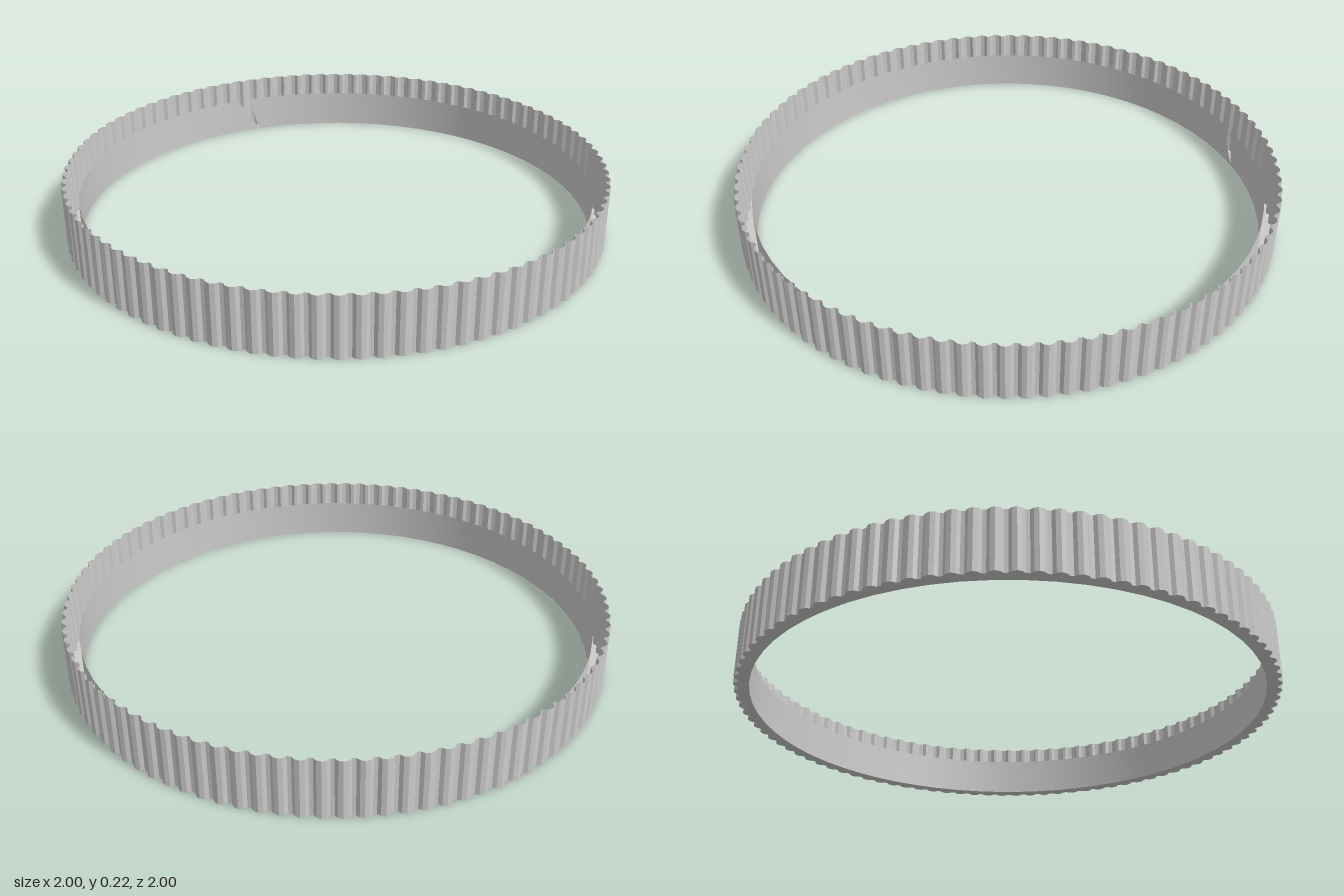
import * as THREE from 'three';

const TEETH = 96;
const OUTER_HEIGHT = 0.22;
const INNER_HEIGHT = 0.145;
const INNER_RADIUS = 0.945;
const INNER_SIDES = 64;

// Tooth profile: [fraction of one pitch, radius]
const TOOTH = [[0, 0.984], [0.2, 0.984], [0.36, 0.995], [0.6, 1.0], [0.84, 0.995]];

// Wall between a lower and an upper line of points
function ribbon(lower, upper) {
  const pos = [];
  const index = [];
  lower.forEach((p, i) => {
    pos.push(...p.toArray(), ...upper[i].toArray());
    if (i > 0) {
      const a = 2 * i - 2;
      index.push(a, a + 2, a + 1, a + 1, a + 2, a + 3);
    }
  });
  const geo = new THREE.BufferGeometry();
  geo.setAttribute('position', new THREE.Float32BufferAttribute(pos, 3));
  geo.setIndex(index);
  geo.computeVertexNormals();
  return geo;
}

export function createModel() {
  const group = new THREE.Group();
  const flat = new THREE.MeshStandardMaterial({ color: 0xcccccc, flatShading: true, side: THREE.DoubleSide });
  const smooth = new THREE.MeshStandardMaterial({ color: 0xcccccc, side: THREE.DoubleSide });
  const add = (name, geo, mat) => {
    const mesh = new THREE.Mesh(geo, mat);
    mesh.name = name;
    group.add(mesh);
    return mesh;
  };

  // Scalloped outline of the rim
  const outline = [];
  for (let i = 0; i < TEETH; i++) {
    for (const [t, r] of TOOTH) {
      const a = ((i + t) / TEETH) * Math.PI * 2;
      outline.push(new THREE.Vector2(Math.cos(a) * r, Math.sin(a) * r));
    }
  }

  // Thin, toothed outer wall; its lines run so that the front faces outward
  const loop = [...outline, outline[0]];
  const at = (y) => loop.map((p) => new THREE.Vector3(p.x, y, -p.y));
  add('outerWall', ribbon(at(0), at(OUTER_HEIGHT)), flat);

  // Flat floor joining the two walls; the channel is open at the top
  const ring = new THREE.Shape(outline);
  const hole = [];
  for (let i = 0; i < INNER_SIDES; i++) {
    const a = (-i / INNER_SIDES) * Math.PI * 2;
    hole.push(new THREE.Vector2(Math.cos(a) * INNER_RADIUS, Math.sin(a) * INNER_RADIUS));
  }
  ring.holes.push(new THREE.Path(hole));
  add('floor', new THREE.ShapeGeometry(ring).rotateX(-Math.PI / 2), flat);

  // Lower inner wall, with a narrow slanted split near the back
  const seamBottom = THREE.MathUtils.degToRad(106);
  const topStart = THREE.MathUtils.degToRad(112);
  const topEnd = THREE.MathUtils.degToRad(108.5) + Math.PI * 2;
  const line = (start, end, y) => Array.from({ length: INNER_SIDES + 1 }, (_, i) => {
    const a = THREE.MathUtils.lerp(start, end, i / INNER_SIDES);
    return new THREE.Vector3(Math.cos(a) * INNER_RADIUS, y, -Math.sin(a) * INNER_RADIUS);
  });
  add('innerWall', ribbon(
    line(seamBottom, seamBottom + Math.PI * 2, 0),
    line(topStart, topEnd, INNER_HEIGHT)
  ), smooth);

  return group;
}
